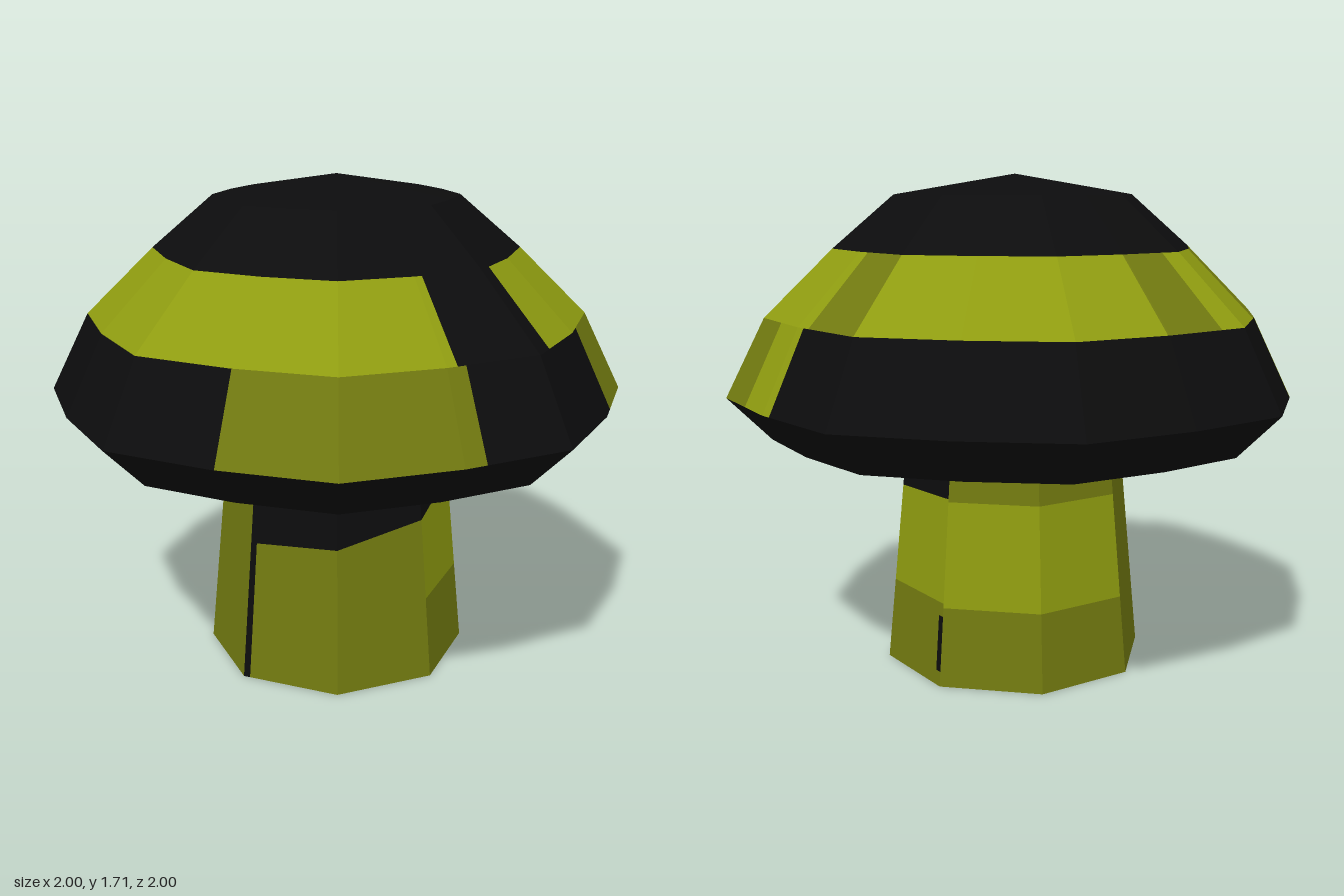
import * as THREE from 'three';

const mat = (name, color) => {
  const m = new THREE.MeshStandardMaterial({ color });
  m.name = name;
  return m;
};

// Point on a many-sided ring; azimuth in degrees runs from +z towards +x.
function ringPoint(az, r, y, step, oddScale) {
  const corner = (i) => {
    const a = THREE.MathUtils.degToRad(i * step);
    const s = r * (i % 2 ? oddScale : 1);
    return new THREE.Vector3(Math.sin(a) * s, y, Math.cos(a) * s);
  };
  const i = Math.floor(az / step);
  return corner(i).lerp(corner(i + 1), az / step - i);
}

// Faceted strip between two profile points, over an azimuth range.
// lower and upper map azimuth to [radius, height].
function strip(name, material, from, to, lower, upper, step, oddScale) {
  const angles = [from];
  for (let a = (Math.floor(from / step) + 1) * step; a < to; a += step) angles.push(a);
  angles.push(to);
  const pts = [];
  for (let i = 0; i < angles.length - 1; i++) {
    const at = (a, f) => ringPoint(a, ...f(a), step, oddScale);
    const [a, b] = [angles[i], angles[i + 1]];
    const [p, q, s, t] = [at(a, lower), at(b, lower), at(b, upper), at(a, upper)];
    pts.push(p, q, s);
    if (s.distanceTo(t) > 1e-6) pts.push(p, s, t);
  }
  const geometry = new THREE.BufferGeometry().setFromPoints(pts);
  geometry.computeVertexNormals();
  const mesh = new THREE.Mesh(geometry, material);
  mesh.name = name;
  return mesh;
}

export function createModel() {
  const black = mat('black', 0x0c0c0d);
  const light = mat('lightOlive', 0x8f9c10);
  const dark = mat('darkOlive', 0x727a10);

  // Cap: rings from the stem outwards and up to the crown
  const cap = new THREE.Group();
  cap.name = 'cap';
  const rings = [[0.36, 0.94], [0.85, 0.82], [1, 0.97], [0.865, 1.24], [0.63, 1.47], [0.42, 1.65], [0, 1.72]];
  // each row: name, then colour cells as [start, end, material]
  const rows = [
    ['underside', [[-180, 180, dark]]],
    ['rim', [[-180, 180, black]]],
    ['lowerBand', [
      [-180, -158, black], [-158, -136, light], [-136, -67, black], [-67, -18, dark],
      [-18, 28, black], [28, 57, dark], [57, 70, light], [70, 180, black],
    ]],
    ['upperBand', [
      [-180, -160, light], [-160, -140, dark], [-140, -20, light], [-20, 6, black],
      [6, 72, light], [72, 90, dark], [90, 157, light], [157, 173, dark], [173, 180, light],
    ]],
    ['shoulder', [[-180, 180, black]]],
    ['crown', [[-180, 180, black]]],
  ];
  rows.forEach(([name, cells], i) => {
    for (const [from, to, m] of cells) {
      cap.add(strip(name, m, from, to, () => rings[i], () => rings[i + 1], 22.5, 0.955));
    }
  });

  // Stem: eight tapering sides
  const stem = new THREE.Group();
  stem.name = 'stem';
  const base = 0.01, top = 0.95;
  const at = (y) => [0.462 - 0.095 * (y - base), y];
  const level = (y) => () => at(y);
  // slanted lower edge of the black collar
  const heights = [0.5, 0.52, 0.58, 0.64, 0.65];
  const slant = (a) => {
    const t = (a + 90) / 45, i = Math.min(3, Math.floor(t));
    return at(THREE.MathUtils.lerp(heights[i], heights[i + 1], t - i));
  };
  const side = (name, m, from, to, lo, hi) => stem.add(strip(name, m, from, to, lo, hi, 45, 1));
  side('stemCollar', black, -90, 90, slant, level(top));
  side('stemSide', dark, -180, -90, level(base), level(top));
  side('stemSeam', black, -90, -87, level(base), slant);
  side('stemSide', dark, -87, 0, level(base), slant);
  side('stemBand', light, 0, 90, level(0.295), slant);
  side('stemFoot', dark, 0, 86.5, level(base), level(0.295));
  // dark mark on the seam
  side('stemFoot', dark, 86.5, 90, level(base), level(0.06));
  side('stemSeam', black, 86.5, 90, level(0.06), level(0.25));
  side('stemFoot', dark, 86.5, 90, level(0.25), level(0.295));
  side('stemFoot', dark, 90, 180, level(base), level(0.28));
  side('stemBand', light, 90, 180, level(0.28), level(0.64));
  side('stemNeck', dark, 90, 180, level(0.64), level(top));
  side('stemBottom', dark, -180, 180, () => [0, base], level(base));

  const model = new THREE.Group();
  model.name = 'mushroom';
  model.add(cap, stem);
  return model;
}
